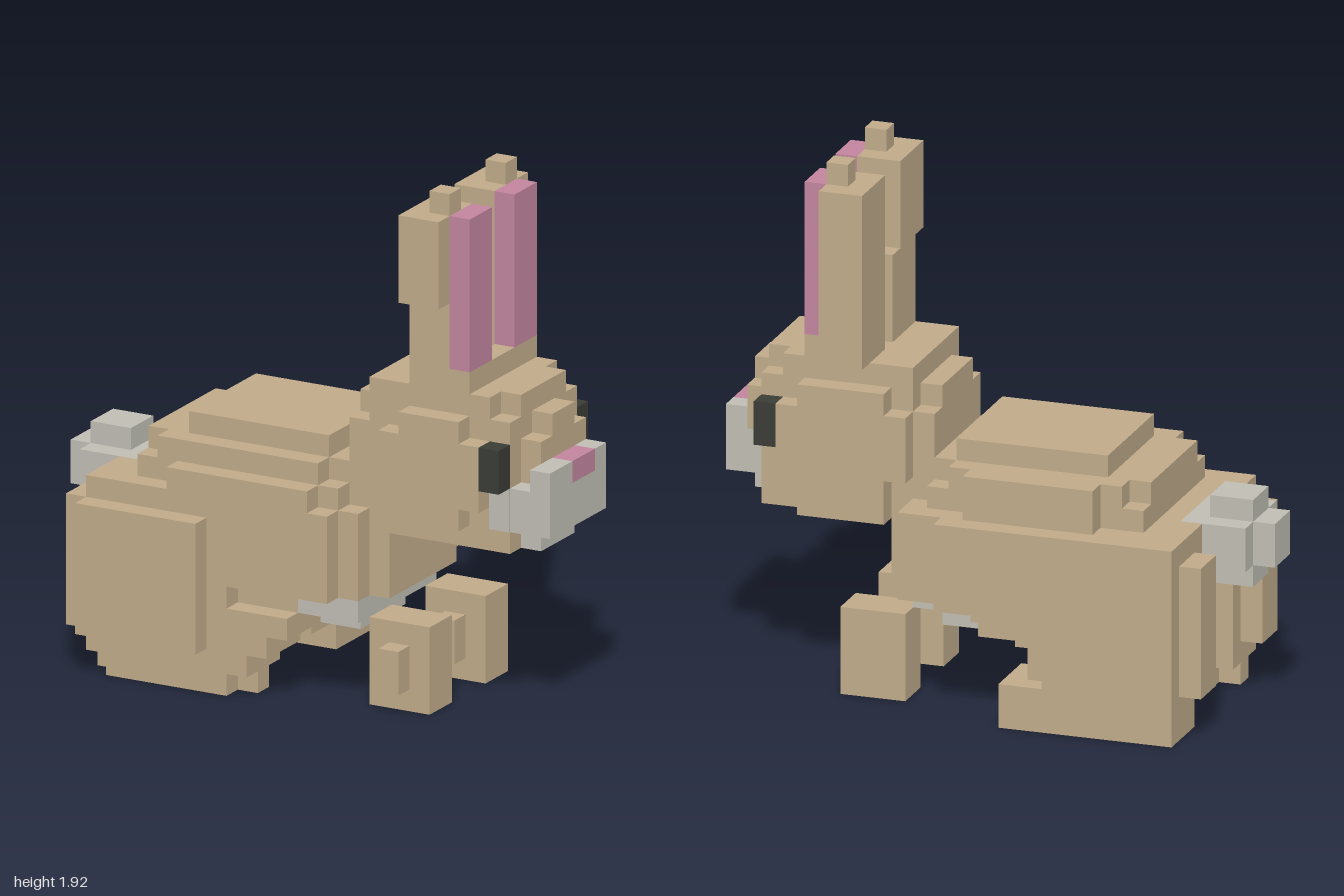
import * as THREE from 'three';
import { mergeGeometries } from 'three/addons/utils/BufferGeometryUtils.js';

const S = 0.08; // size of one block
const mat = (name, color) => {
  const m = new THREE.MeshStandardMaterial({ color });
  m.name = name;
  return m;
};

// box between block coordinates: x counts from the tail, y from the ground, z from the middle
function block([x0, x1, y0, y1, z0, z1]) {
  const g = new THREE.BoxGeometry((x1 - x0) * S, (y1 - y0) * S, (z1 - z0) * S);
  g.translate(((x0 + x1) / 2) * S - 1, ((y0 + y1) / 2) * S, ((z0 + z1) / 2) * S);
  return g;
}

export function createModel() {
  const fur = mat('tan fur', 0xc0ab8a);
  const pale = mat('pale fur', 0xbfbdb3);
  const pink = mat('pink', 0xc2859e);
  const dark = mat('dark eye', 0x3a3c36);

  const model = new THREE.Group();
  model.name = 'rabbit';
  const part = (name, material, ...boxes) => {
    const mesh = new THREE.Mesh(mergeGeometries(boxes.map(block)), material);
    mesh.name = name;
    model.add(mesh);
  };

  // stepped body, wide in the middle and rounded off upwards
  part('body', fur,
    [7, 14, 11, 12, -3, 3],
    [5, 15, 9, 11, -3, 3],
    [6, 14, 9, 11, -4, 4],
    [7, 13, 9, 11, -5, -4],
    [4, 16, 5, 9, -4, 4],
    [5, 16, 9, 10, -3, 3],
    [5, 15, 9, 10, -4, 4],
    [7, 14, 9, 10, 4, 5],
    [4, 13, 4, 5, -4, 4],
    [5, 13, 3, 4, -3, 3],
    [6, 12, 2, 3, -1, 1]);
  part('chest', fur, [16, 17, 5, 9, -3, 3]);
  part('belly', pale, [13, 16, 4, 5, -3, 4], [13, 15, 3, 4, -2, 2]);

  // left and right flanks and haunches differ slightly
  part('nearHaunch', fur,
    [3, 9, 2, 8, 5, 6],
    [3, 10, 2, 9, 4, 5],
    [10, 15, 5, 9, 4, 5],
    [2, 3, 2, 8, 3, 5],
    [3, 4, 2, 9, 2, 5],
    [10, 13, 3, 4, 3, 5],
    [10, 12, 2, 3, 2, 5]);
  part('farHaunch', fur,
    [3, 14, 5, 9, -6, -5],
    [3, 9, 2, 5, -6, -5],
    [3, 10, 2, 9, -5, -3],
    [10, 16, 5, 9, -5, -4],
    [2, 3, 2, 8, -5, -3],
    [3, 4, 2, 9, -5, -2]);

  // hind feet
  part('nearHindFoot', fur, [3, 11, 1, 2, 2, 5], [4, 10, 0, 1, 2, 5], [3, 11, 0, 1, 3, 4]);
  part('farHindFoot', fur, [3, 11, 0, 2, -6, -3], [4, 10, 1, 3, -3, -1]);

  // front paws, each with a small knob on its side
  part('nearFrontPaw', fur, [16, 19, 0, 4, 1, 3], [17, 18, 1, 3, 3, 4]);
  part('farFrontPaw', fur, [16, 19, 0, 4, -4, -2], [17, 18, 1, 3, -2, -1]);

  // tail
  part('tail', pale,
    [0, 3, 7, 9, -1, 1],
    [1, 4, 7, 9, -2, 2],
    [1, 3, 6, 10, -1, 1]);

  // head with stepped corners
  part('head', fur,
    [16, 22, 8, 15, -3, 3],
    [22, 23, 8, 14, -3, 3],
    [22, 23, 14, 15, -2, 2],
    [15, 16, 9, 13, -3, 3],
    [15, 16, 13, 14, -2, 2],
    [23, 24, 11, 13, -2, 2],
    [23, 24, 13, 14, -1, 1],
    [20, 21, 15, 16, -3, 3]);
  part('nearCheek', fur, [17, 22, 10, 13, 3, 4], [18, 21, 9, 14, 3, 4]);
  part('farCheek', fur, [16, 22, 10, 13, -4, -3], [17, 21, 8, 14, -4, -3]);

  // face
  part('muzzle', pale,
    [23, 24, 9, 11, -2, 3],
    [24, 25, 9, 11, -2, 3],
    [24, 25, 11, 12, -2, -1],
    [24, 25, 11, 12, 1, 3],
    [23, 24, 8, 9, -1, 2],
    [22, 23, 9, 11, 3, 3.06]);
  part('nose', pink, [24, 25, 11, 12, -1, 1]);
  part('nearEye', dark, [22, 23, 11, 13, 3, 4]);
  part('farEye', dark, [22, 23, 11, 13, -4, -3]);

  // ears: the near one bends outwards halfway up
  part('nearEar', fur, [18, 20, 15, 19, 0, 3], [18, 20, 19, 23, 1, 4], [19, 20, 23, 24, 2, 3]);
  part('farEar', fur, [18, 20, 15, 23, -4, -1], [19, 20, 23, 24, -3, -2]);
  for (const [name, z] of [['nearInnerEar', 1], ['farInnerEar', -3]]) {
    part(name, pink, [20, 21, 16, 23, z, z + 2]);
  }
  return model;
}
